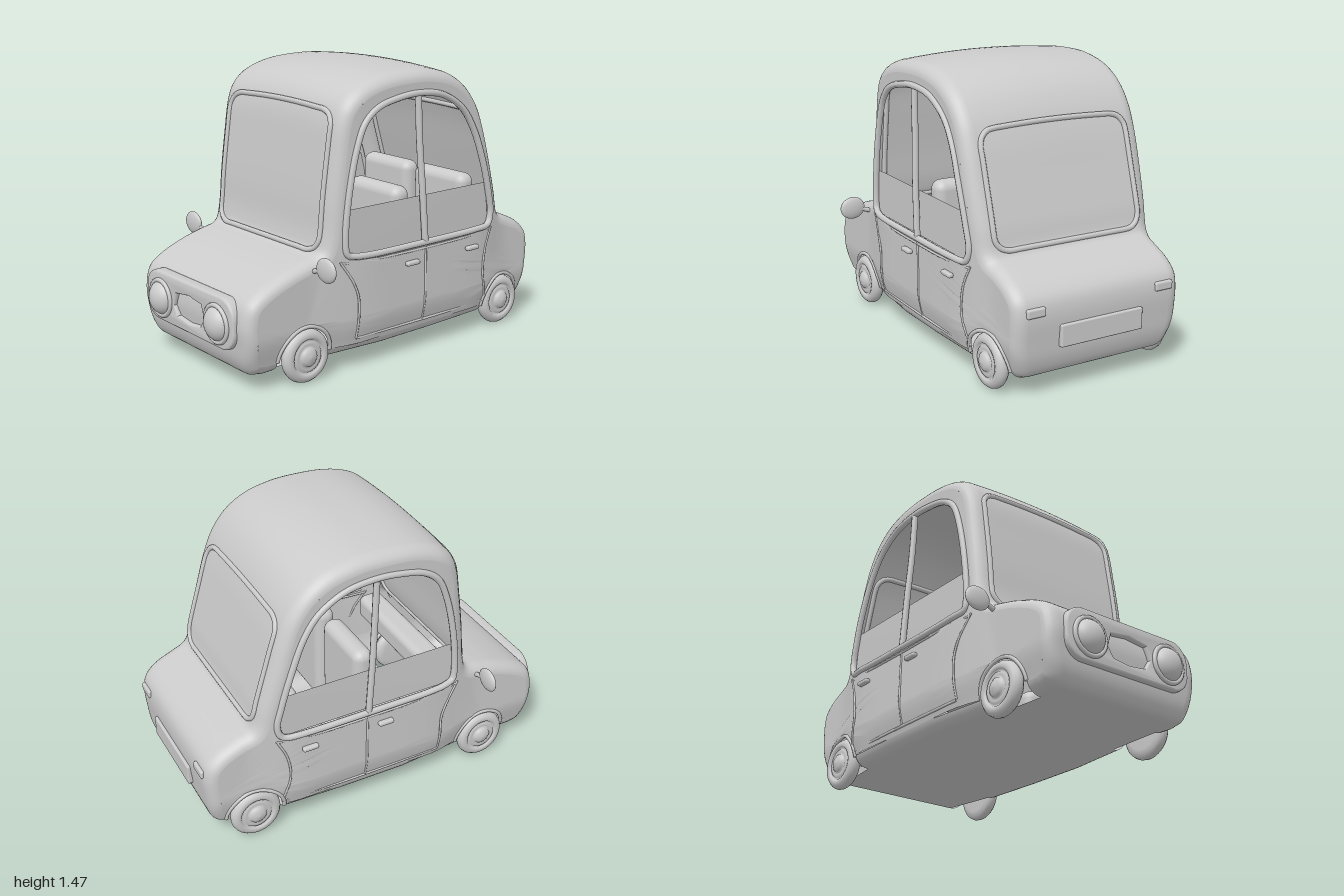
import * as THREE from 'three';
import { mergeVertices, toCreasedNormals } from 'three/addons/utils/BufferGeometryUtils.js';
import { RoundedBoxGeometry } from 'three/addons/geometries/RoundedBoxGeometry.js';

const S = THREE.MathUtils.smoothstep;
const V3 = (x, y, z) => new THREE.Vector3(x, y, z);
const grey = new THREE.MeshStandardMaterial({ color: 0xcccccc, side: THREE.DoubleSide });
const EDGE = 0.055, EDGE_X = 0.07;                    // rounding of the body edges
const WHEELS = [0.585, -0.74], ARCH_R = 0.15, ARCH_Y = 0.13;

// Half width of the body at height y and length z
const sideX = (y, z) => 0.465
  + S(z, -0.8, -0.5) * (1 - S(z, 0.25, 0.55)) * (0.05 - 0.02 * S(y, 0.6, 1.3))
  - 0.04 * (1 - S(y, 0.06, 0.28));
// Domes the roof across its width
const warp = (x, y, z) => V3(x, y - 0.12 * x * x * S(y, 0.8, 1.4), z);
const onSide = (s, z, y, out = 0) => warp(s * (sideX(y, z) + out), y, z);

// Centre-line profile (z, y): nose, bonnet, windscreen, roof, tail
const profileKeys = [[.8, .07], [.87, .09], [.905, .15], [.92, .25], [.925, .34], [.9, .435], [.835, .49],
  [.68, .555], [.57, .585], [.485, .61], [.46, .68], [.44, .865], [.412, 1.08], [.385, 1.25], [.35, 1.335],
  [.28, 1.4], [.14, 1.45], [-.07, 1.467], [-.2, 1.46], [-.34, 1.425], [-.45, 1.355], [-.53, 1.25],
  [-.58, 1.13], [-.635, .945], [-.69, .76], [-.73, .625], [-.8, .592], [-.9, .545], [-.965, .485],
  [-.985, .41], [-.978, .28], [-.965, .18], [-.935, .11], [-.89, .085]];
const upper = new THREE.CatmullRomCurve3(profileKeys.map(([z, y]) => V3(0, y, z))).getPoints(160);
const lower = [-.59, -.25, .1, .435, .735].map(z => V3(0, 0.0775 - 0.008 * z, z));
const loop = [...upper, ...lower];
const inset = loop.map((p, i) => {
  const n = loop.length, t = loop[(i + 1) % n].clone().sub(loop[(i + n - 1) % n]).normalize();
  return V3(0, t.z, -t.y);                            // unit direction into the body
});
const insetPoint = (i, d) => loop[i].clone().addScaledVector(inset[i], d);

// Side window outline (z, y)
const windowKeys = [[.36, .6], [.372, .66], [.355, .865], [.3, 1.13], [.25, 1.25], [.17, 1.315], [.035, 1.35],
  [-.1, 1.36], [-.26, 1.335], [-.395, 1.25], [-.475, 1.13], [-.545, .945], [-.6, .76], [-.622, .65],
  [-.6, .59], [-.5, .58], [-.14, .577], [.3, .585]];
const windowLine = new THREE.CatmullRomCurve3(windowKeys.map(([z, y]) => V3(0, y, z)), true).getPoints(70).slice(0, -1);

// Finds the z of the skin at height y on the front or rear of the cabin
function skinZ(y, front) {
  const pts = upper.filter(p => p.y > 0.6 && (front ? p.z > 0 && p.z < 0.5 : p.z < 0 && p.z > -0.76));
  pts.sort((a, b) => a.y - b.y);
  const k = Math.max(1, pts.findIndex(p => p.y >= y)), a = pts[k - 1], b = pts[k];
  return a.z + (b.z - a.z) * (y - a.y) / (b.y - a.y);
}

function roundRect(hw, y0, y1, r) {
  const s = new THREE.Shape();
  s.absarc(hw - r, y0 + r, r, -Math.PI / 2, 0);
  s.absarc(hw - r, y1 - r, r, 0, Math.PI / 2);
  s.absarc(-hw + r, y1 - r, r, Math.PI / 2, Math.PI);
  s.absarc(-hw + r, y0 + r, r, Math.PI, Math.PI * 1.5);
  s.closePath();
  return s;
}

// Outer skin: the profile swept across the width, rounded towards both sides
function skinGeometry() {
  const half = [];
  for (let k = 0; k <= 6; k++) half.push({ f: k / 6, a: 0 });
  for (let k = 1; k <= 6; k++) half.push({ f: 1, a: k / 6 * Math.PI / 2 });
  const stations = [...half.slice(1).reverse().map(h => ({ ...h, s: -1 })), ...half.map(h => ({ ...h, s: 1 }))];
  const m = stations.length, n = loop.length, pos = [], idx = [];
  loop.forEach((_, i) => stations.forEach(({ f, a, s }) => {
    const p = insetPoint(i, EDGE * (1 - Math.cos(a)));
    const x = (sideX(p.y, p.z) - EDGE_X) * f + EDGE_X * Math.sin(a);
    pos.push(...warp(s * x, p.y, p.z).toArray());
  }));
  for (let i = 0; i < n; i++) for (let j = 0; j < m - 1; j++) {
    const i2 = (i + 1) % n, zMid = (loop[i].z + loop[i2].z) / 2;
    const inArch = loop[i].y < 0.12 && loop[i2].y < 0.12 && WHEELS.some(c => Math.abs(zMid - c) < 0.1);
    if (inArch && (j < 6 || j >= m - 7)) continue;    // leave the wheel wells open
    const a = i * m + j, c = i2 * m + j;
    idx.push(a, a + 1, c, a + 1, c + 1, c);
  }
  const g = new THREE.BufferGeometry();
  g.setAttribute('position', new THREE.Float32BufferAttribute(pos, 3));
  g.setIndex(idx);
  g.computeVertexNormals();
  return g;
}

// Side panel with window opening and wheel arches, subdivided and bent to the body width
function sideGeometry(s) {
  const outline = [];
  loop.forEach((_, i) => {
    const p = insetPoint(i, EDGE);
    outline.push(new THREE.Vector2(p.z, p.y));
    const c = i === upper.length - 1 ? WHEELS[1] : i === loop.length - 2 ? WHEELS[0] : null;
    if (c !== null) for (let k = 0; k <= 16; k++) {
      const a = Math.PI - 0.1 - (Math.PI - 0.2) * k / 16;
      outline.push(new THREE.Vector2(c + ARCH_R * Math.cos(a), ARCH_Y + ARCH_R * Math.sin(a)));
    }
  });
  const shape = new THREE.Shape(outline);
  shape.holes.push(new THREE.Path(windowLine.map(p => new THREE.Vector2(p.z, p.y))));
  const flat = new THREE.ShapeGeometry(shape).toNonIndexed().getAttribute('position');
  const pos = [];
  const split = (a, b, c, depth) => {
    if (!depth) {
      for (const p of s < 0 ? [a, b, c] : [a, c, b]) pos.push(...onSide(s, p.x, p.y).toArray());
      return;
    }
    const [ab, bc, ca] = [[a, b], [b, c], [c, a]].map(([p, q]) => p.clone().lerp(q, 0.5));
    [[a, ab, ca], [ab, b, bc], [ca, bc, c], [ab, bc, ca]].forEach(t => split(...t, depth - 1));
  };
  const v = i => new THREE.Vector3().fromBufferAttribute(flat, i);
  for (let i = 0; i < flat.count; i += 3) split(v(i), v(i + 1), v(i + 2), 3);
  let g = new THREE.BufferGeometry();
  g.setAttribute('position', new THREE.Float32BufferAttribute(pos, 3));
  g = mergeVertices(g, 1e-5);
  g.computeVertexNormals();
  return g;
}

export function createModel() {
  const car = new THREE.Group();
  car.name = 'car';
  const add = (name, geo, x = 0, y = 0, z = 0) => {
    const m = new THREE.Mesh(geo, grey);
    m.name = name;
    m.position.set(x, y, z);
    car.add(m);
    return m;
  };
  const tube = (name, pts, r, closed = false) =>
    add(name, new THREE.TubeGeometry(new THREE.CatmullRomCurve3(pts, closed), pts.length * 3, r, 8, closed));

  add('bodyShell', skinGeometry());

  // Windscreen and rear window frames
  for (const [name, hw, y0, y1, front] of [['windscreenFrame', .41, .615, 1.295, true], ['rearWindowFrame', .41, .645, 1.2, false]]) {
    const pts = roundRect(hw, y0, y1, .075).getSpacedPoints(60).slice(0, -1);
    tube(name, pts.map(p => warp(p.x, p.y, skinZ(p.y, front))), .014, true);
  }

  for (const s of [1, -1]) {
    const side = s > 0 ? 'left' : 'right';
    const line = (name, keys, r, out = 0) => tube(side + name, keys.map(([z, y]) => onSide(s, z, y, out)), r);
    add(side + 'SidePanel', sideGeometry(s));
    tube(side + 'WindowFrame', windowLine.map(p => onSide(s, p.z, p.y)), .017, true);
    line('CentrePillar', [[-.09, 1.35], [-.1, 1.1], [-.115, .85], [-.135, .57]], .017);

    // Half-lowered panes
    const pane = new THREE.BufferGeometry();
    const corners = [[.37, .58], [.358, .815], [-.585, .815], [-.615, .58]].map(([z, y]) => onSide(s, z, y, -.012));
    pane.setFromPoints(corners);
    pane.setIndex(s > 0 ? [0, 2, 1, 0, 3, 2].reverse() : [0, 2, 1, 0, 3, 2]);
    pane.computeVertexNormals();
    add(side + 'WindowPane', pane);

    // Door seams and handles
    line('FrontDoorSeam', [[.4, .57], [.33, .46], [.3, .38], [.298, .27], [.298, .165]], .006);
    line('MiddleDoorSeam', [[-.138, .57], [-.14, .4], [-.14, .28], [-.14, .165]], .006);
    line('RearDoorSeam', [[-.63, .57], [-.58, .46], [-.565, .33], [-.59, .23], [-.605, .165]], .006);
    line('Sill', [[.298, .163], [0, .163], [-.3, .163], [-.605, .163]], .007);
    line('BeltLine', [[.4, .558], [.1, .55], [-.14, .548], [-.4, .55], [-.63, .56]], .006);
    for (const z of [-.04, -.462]) add(side + 'DoorHandle', new RoundedBoxGeometry(.03, .024, .085, 2, .01), s * (sideX(.49, z) + .012), .49, z);

    // Wheels with arch trim
    for (const c of WHEELS) {
      const arch = [];
      for (let k = 0; k <= 16; k++) arch.push([c + ARCH_R * Math.cos(Math.PI * k / 16), ARCH_Y + ARCH_R * Math.sin(Math.PI * k / 16)]);
      line('ArchTrim', arch, .01);
      const tyre = [[0, -.035], [.09, -.035], [.118, -.03], [.13, -.016], [.134, 0], [.13, .016], [.118, .03], [.1, .034],
        [.088, .03], [.082, .02], [.076, .028], [.06, .03], [.05, .026], [.046, .036], [.03, .048], [0, .052]];
      const wheel = new THREE.LatheGeometry(tyre.map(([r, h]) => new THREE.Vector2(r, h)), 40);
      add(side + 'Wheel', wheel, s * .452, .134, c).rotation.z = -s * Math.PI / 2;
    }

    // Wing mirror
    tube(side + 'MirrorArm', [V3(s * .42, .53, .53), V3(s * .46, .545, .535), V3(s * .53, .568, .54)], .012);
    add(side + 'Mirror', new THREE.SphereGeometry(1, 28, 18), s * .56, .572, .54).scale.set(.07, .06, .021);

    // Lamps
    add(side + 'Headlight', new THREE.SphereGeometry(.086, 32, 20), s * .245, .32, .935).scale.z = .75;
    add(side + 'HeadlightRing', new THREE.TorusGeometry(.09, .012, 10, 40), s * .245, .32, .948);
    add(side + 'TailLight', new RoundedBoxGeometry(.1, .045, .03, 2, .01), s * .36, .43, -.98);

    // Seats in two rows
    for (const z of [-.09, -.555]) {
      add(side + 'SeatBack', new RoundedBoxGeometry(.38, .56, .11, 4, .05), s * .21, .565, z);
      add(side + 'SeatCushion', new RoundedBoxGeometry(.38, .12, .32, 4, .05), s * .21, .33, z + .14);
    }
  }
  add('dashboard', new RoundedBoxGeometry(.86, .14, .14, 3, .04), 0, .53, .385);

  // Nose panel with grille opening
  const panel = roundRect(.38, .2, .455, .1);
  panel.holes.push(new THREE.Path([[-.13, .31], [-.11, .375], [0, .39], [.11, .375], [.13, .31], [.1, .262], [0, .25], [-.1, .262]]
    .map(([x, y]) => new THREE.Vector2(x, y))));
  const panelGeo = new THREE.ExtrudeGeometry(panel, { depth: .04, bevelSize: .01, bevelThickness: .012, bevelSegments: 3, bevelOffset: -.01, curveSegments: 10 });
  add('nosePanel', toCreasedNormals(panelGeo, .6), 0, 0, .893);

  // Number plate holder
  add('rearPlate', new RoundedBoxGeometry(.46, .11, .04, 2, .008), 0, .295, -.98);
  return car;
}
